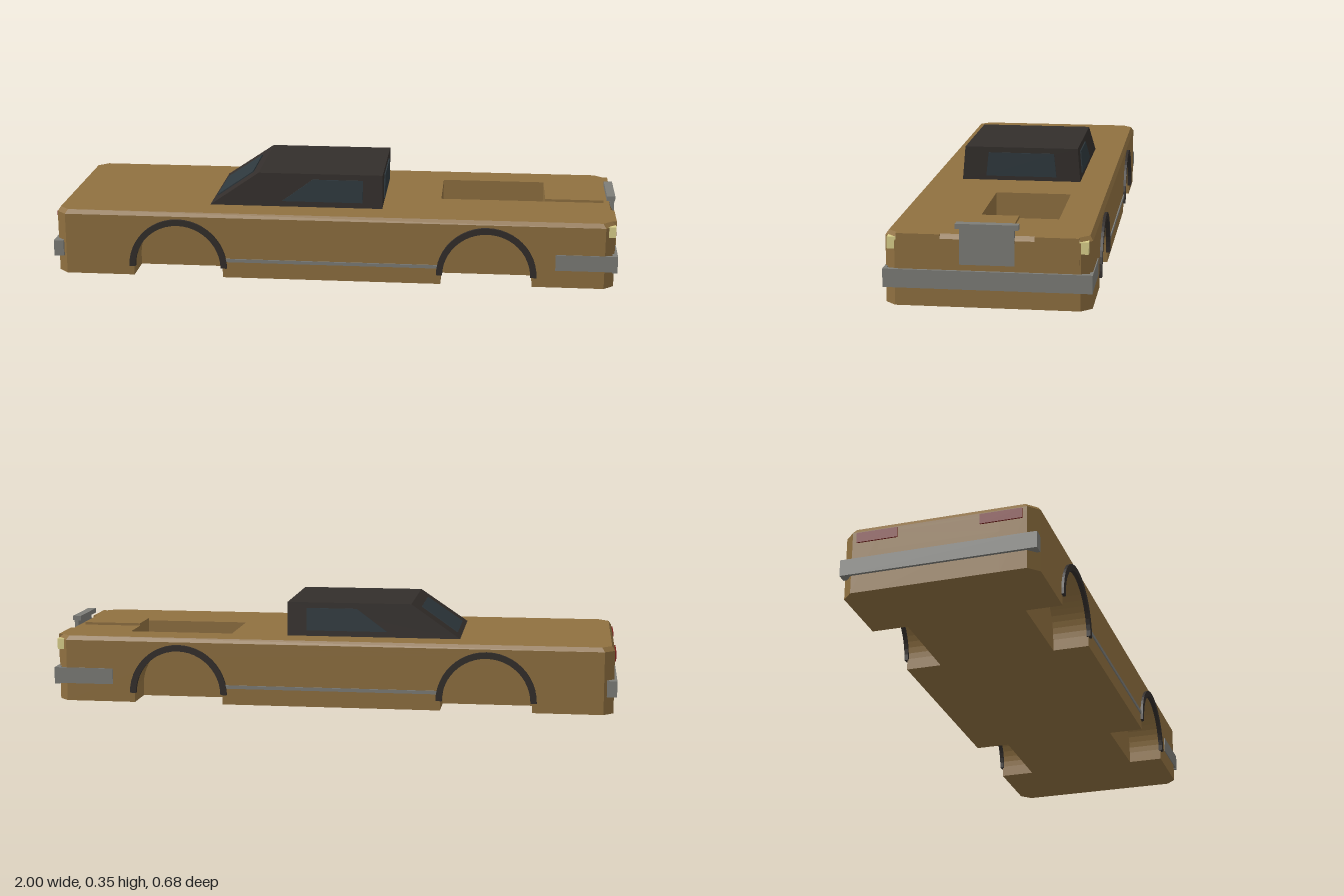
import * as THREE from 'three';

const paint = c => new THREE.MeshStandardMaterial({ color: c, flatShading: true });

export function createModel() {
  const car = new THREE.Group();
  const gold = paint(0x8f7040), dark = paint(0x332e2b), glass = paint(0x2e383d);
  const chrome = paint(0x7d7d78), lamp = paint(0xdcd28c), red = paint(0x7a1c18);

  const add = (name, geo, mat) => {
    const m = new THREE.Mesh(geo, mat);
    m.name = name;
    car.add(m);
    return m;
  };
  // box given by its extents
  const box = (name, mat, x0, x1, y0, y1, z0, z1) => add(name,
    new THREE.BoxGeometry(x1 - x0, y1 - y0, z1 - z0)
      .translate((x0 + x1) / 2, (y0 + y1) / 2, (z0 + z1) / 2), mat);
  const poly = pts => new THREE.Shape(pts.map(p => new THREE.Vector2(...p)));
  // move every vertex by a rule
  const warp = (geo, rule) => {
    const p = geo.attributes.position, v = new THREE.Vector3();
    for (let i = 0; i < p.count; i++) {
      rule(v.fromBufferAttribute(p, i));
      p.setXYZ(i, v.x, v.y, v.z);
    }
    geo.computeVertexNormals();
    return geo;
  };
  // side profile extruded from z0 to z1
  const side = (shape, z0, z1) => new THREE.ExtrudeGeometry(shape,
    { depth: z1 - z0, bevelEnabled: false, curveSegments: 12 }).translate(0, 0, z0);
  // plan outline extruded from y0 to y1, with the open bay cut out
  const plan = (pts, y0, y1) => {
    const s = poly(pts);
    s.holes.push(poly([[0.375, -0.06], [0.375, 0.2], [0.75, 0.2], [0.75, -0.06]]));
    return new THREE.ExtrudeGeometry(s, { depth: y1 - y0, bevelEnabled: false })
      .rotateX(-Math.PI / 2).translate(0, y0, 0);
  };

  // body core between the wheel wells
  box('bodyFloor', gold, -0.99, 0.99, 0, 0.145, -0.205, 0.205);
  add('bodyCore', plan([[-0.99, -0.205], [0.99, -0.205], [0.99, 0.205], [-0.99, 0.205]], 0.145, 0.205), gold);

  // body sides with wheel wells and chamfered ends
  const wheels = [-0.55, 0.545], R = 0.16, axle = 0.04;
  const flank = new THREE.Shape();
  flank.moveTo(-0.99, 0);
  for (const x of wheels) {
    flank.lineTo(x - R, 0);
    flank.lineTo(x - R, axle);
    flank.absarc(x, axle, R, Math.PI, 0, true);
    flank.lineTo(x + R, 0);
  }
  flank.lineTo(0.99, 0);
  flank.lineTo(0.99, 0.205);
  flank.lineTo(-0.99, 0.205);
  const chamfer = v => {
    if (Math.abs(v.z) > 0.32) v.x = THREE.MathUtils.clamp(v.x, -0.955, 0.955);
  };
  for (const s of [-1, 1]) {
    const span = (a, b) => s > 0 ? [a, b] : [-b, -a];
    add('bodySide', side(flank, ...span(0.205, 0.295)), gold);
    add('bodySideSkin', warp(side(flank, ...span(0.295, 0.33)), chamfer), gold);
  }

  // upper deck with bevelled rim
  const outline = [[-0.955, -0.33], [0.955, -0.33], [0.99, -0.295], [0.99, 0.295],
    [0.955, 0.33], [-0.955, 0.33], [-0.99, 0.295], [-0.99, -0.295]];
  add('deckBand', plan(outline, 0.205, 0.22), gold);
  add('deckTop', warp(plan(outline, 0.22, 0.235), v => {
    if (v.y > 0.23 && (Math.abs(v.x) > 0.9 || Math.abs(v.z) > 0.28)) {
      v.x *= 0.99;
      v.z *= 0.97;
    }
  }), gold);
  box('hoodRidge', gold, 0.75, 0.96, 0.23, 0.244, -0.07, 0.06);

  // cabin, sides leaning inwards
  const lean = v => { v.z -= Math.sign(v.z) * 0.01 * (v.y - 0.235) / 0.12; };
  add('cabin', warp(side(poly([[-0.45, 0.235], [0.17, 0.235], [0.17, 0.355], [-0.275, 0.355]]),
    -0.213, 0.213), lean), dark);
  add('sideWindows', warp(side(poly([[-0.19, 0.255], [0.1, 0.255], [0.1, 0.335], [-0.08, 0.335]]),
    -0.217, 0.217), lean), glass);
  const pane = (h, w) => warp(new THREE.BoxGeometry(0.008, h, w), v => { if (v.y > 0) v.z *= 0.93; });
  add('windshield', pane(0.085, 0.254), glass).position.set(0.17, 0.293, 0);
  const rear = add('rearWindow', pane(0.158, 0.254), glass);
  rear.position.set(-0.37, 0.29, 0);
  rear.rotation.z = -0.97;

  // parts mirrored left and right
  for (const s of [-1, 1]) {
    const pair = (name, mat, x0, x1, y0, y1, a, b) =>
      box(name, mat, x0, x1, y0, y1, Math.min(s * a, s * b), Math.max(s * a, s * b));
    for (const x of wheels) {
      const arch = new THREE.Shape();
      arch.absarc(x, axle - 0.005, 0.176, 0, Math.PI, false);
      arch.absarc(x, axle - 0.005, 0.154, Math.PI, 0, true);
      add('wheelArch', side(arch, s > 0 ? 0.325 : -0.339, s > 0 ? 0.339 : -0.325), dark);
    }
    pair('sideTrim', chrome, -0.385, 0.38, 0.058, 0.07, 0.325, 0.334);
    pair('frontBumperWrap', chrome, 0.785, 0.99, 0.063, 0.12, 0.322, 0.333);
    pair('headlightPanel', gold, 0.95, 0.993, 0.15, 0.235, 0.15, 0.29);
    pair('headlight', lamp, 0.95, 0.99, 0.184, 0.223, 0.289, 0.319);
    pair('tailLight', red, -0.995, -0.97, 0.18, 0.215, 0.14, 0.28);
  }

  // bumpers and upright grille
  box('frontBumper', chrome, 0.982, 1, 0.06, 0.12, -0.333, 0.333);
  box('rearBumper', chrome, -1, -0.965, 0.063, 0.12, -0.331, 0.331);
  box('grille', chrome, 0.982, 0.996, 0.14, 0.257, -0.087, 0.087);
  box('grilleCap', chrome, 0.968, 0.998, 0.255, 0.272, -0.1, 0.1);

  return car;
}
